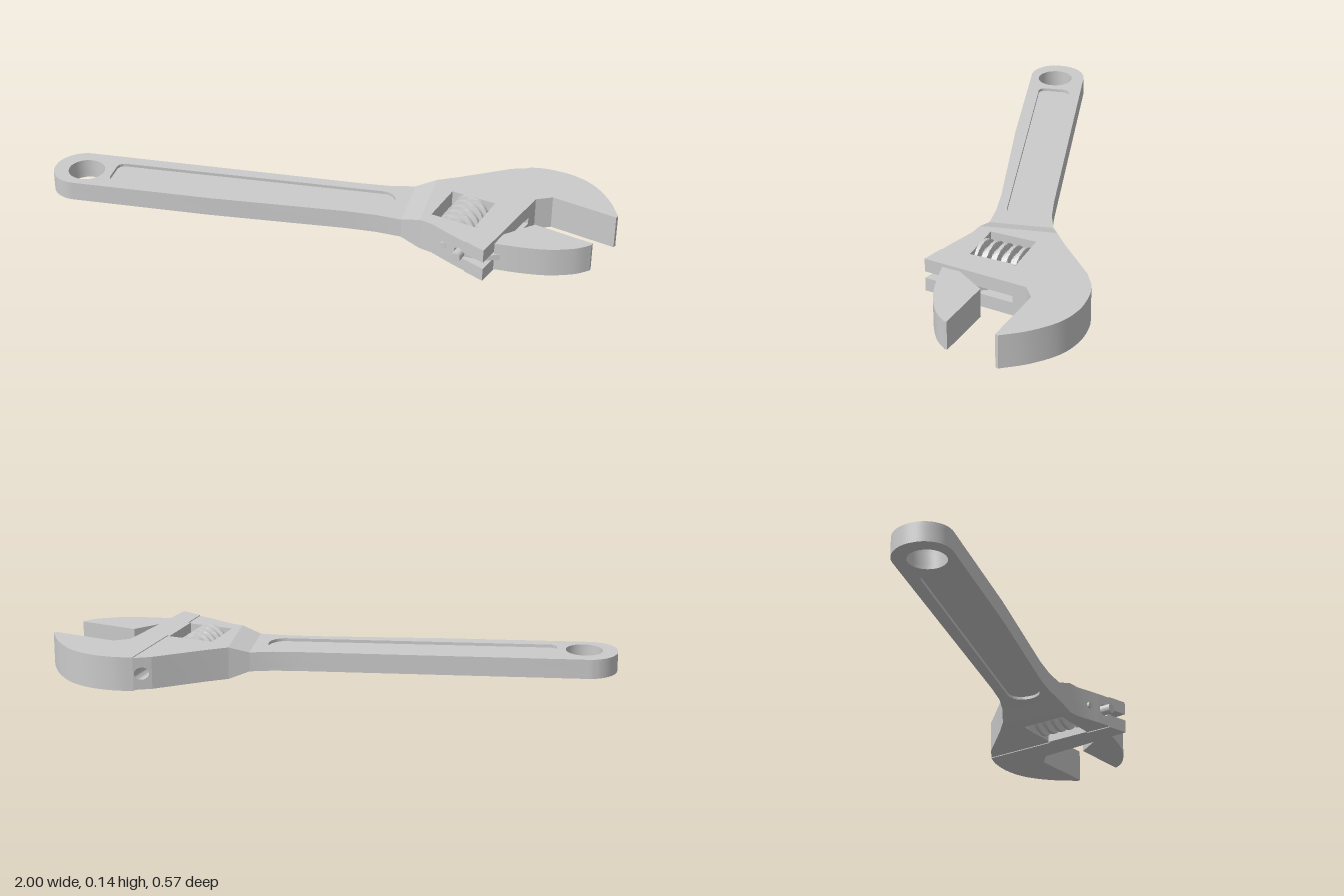
import * as THREE from 'three';
import { toCreasedNormals } from 'three/addons/utils/BufferGeometryUtils.js';

const MID = 0.073;                                   // height of the middle plane
const ANGLE = 0.235, C = Math.cos(ANGLE), S = Math.sin(ANGLE), AXIS_X = 0.56;
const H_HANDLE = 0.035, H_BODY = 0.058, H_HEAD = 0.061;

// Slanted head frame (u across, v along the channel) to plan coordinates [x, z]
const W = (u, v) => [AXIS_X + u * C - v * S, u * S + v * C];
// Slanted ends of the head where the channel runs out
const backEnd = (u) => -0.277 - 0.65 * u;
const frontEnd = (u) => 0.237 + 0.28 * u;

const material = new THREE.MeshStandardMaterial({ color: 0xcccccc });

function part(name, geometry, parent) {
  const mesh = new THREE.Mesh(toCreasedNormals(geometry, 0.5), material);
  mesh.name = name;
  parent.add(mesh);
  return mesh;
}

const polygon = (pts) => new THREE.Shape(pts.map((p) => new THREE.Vector2(...p)));
const smooth = (pts, n = 24) =>
  new THREE.SplineCurve(pts.map((p) => new THREE.Vector2(...p))).getPoints(n).map((p) => [p.x, p.y]);

// Replaces each corner [x, z, radius] by a short curve
function rounded(corners, PathType = THREE.Shape) {
  const path = new PathType();
  corners.forEach(([x, z, r = 0], i) => {
    const p = new THREE.Vector2(x, z);
    const toward = (q) => p.clone().add(new THREE.Vector2(q[0], q[1]).sub(p).setLength(r));
    const a = r ? toward(corners.at(i - 1)) : p;
    const b = r ? toward(corners[(i + 1) % corners.length]) : p;
    if (i) path.lineTo(a.x, a.y); else path.moveTo(a.x, a.y);
    if (r) {
      const k = 0.55, c1 = a.clone().lerp(p, k), c2 = b.clone().lerp(p, k);
      path.bezierCurveTo(c1.x, c1.y, c2.x, c2.y, b.x, b.y);
    }
  });
  path.closePath();
  return path;
}

// Flat plate with a plan outline between two heights from the middle plane
function plate(shape, y0, y1) {
  const g = new THREE.ExtrudeGeometry(shape, { depth: y1 - y0, bevelEnabled: false, curveSegments: 16 });
  return g.rotateX(Math.PI / 2).translate(0, y1, 0);
}

// Moves every vertex by a rule
function reshape(geometry, rule) {
  const pos = geometry.attributes.position, v = new THREE.Vector3();
  for (let i = 0; i < pos.count; i++) {
    rule(v.fromBufferAttribute(pos, i));
    pos.setXYZ(i, v.x, v.y, v.z);
  }
  return geometry;
}

function buildHandle(root) {
  const outline = (withPanel) => {
    const s = rounded([
      [-1, 0.006, 0.1], [-0.4, -0.03], [0.1, -0.06], [0.2, -0.07], [0.28, -0.09],
      [0.28, 0.132], [0.19, 0.126], [0.086, 0.13], [-0.4, 0.175], [-1, 0.213, 0.1],
    ]);
    s.holes.push(new THREE.Path().absarc(-0.882, 0.11, 0.065, 0, Math.PI * 2));
    if (withPanel) {
      s.holes.push(rounded([[-0.785, 0.038, 0.025], [0.232, -0.032, 0.055],
        [0.232, 0.088, 0.055], [-0.785, 0.155, 0.025]], THREE.Path));
    }
    return s;
  };
  const floor = 0.024;
  part('handleCore', plate(outline(false), -floor, floor), root);
  part('handleTopRim', plate(outline(true), floor, H_HANDLE), root);
  part('handleBottomRim', plate(outline(true), -H_HANDLE, -floor), root);

  // Neck thickening towards the head
  const neck = plate(polygon([[0.28, -0.09], [0.35, -0.115], [0.35, 0.15], [0.28, 0.132]]), -1, 1);
  part('neck', reshape(neck, (p) => { p.y *= p.x < 0.3 ? H_HANDLE : H_BODY; }), root);
}

function buildHead(root, slanted) {
  // Body wrapped around the worm window
  part('headBody', plate(polygon([
    [0.35, -0.115], [0.42, -0.153], W(-0.03, backEnd(-0.03)), W(-0.03, -0.022), W(-0.15, -0.022),
    W(-0.15, 0.145), W(-0.03, 0.145), W(-0.03, frontEnd(-0.03)), [0.395, 0.165], [0.35, 0.15],
  ]), -H_BODY, H_BODY), root);

  // Round channel: closed bore at the back, open to a slot at the front
  const r = 0.022, slot = 0.0125, right = 0.025, a = Math.asin(slot / r);
  const bore = polygon([[-0.03, -H_BODY], [right, -H_BODY], [right, H_BODY], [-0.03, H_BODY]]);
  bore.holes.push(new THREE.Path().absarc(0, 0, r, 0, Math.PI * 2));
  const keyhole = new THREE.Shape();
  keyhole.moveTo(-0.03, -H_BODY).lineTo(right, -H_BODY).lineTo(right, -slot);
  keyhole.absarc(0, 0, r, -a, a, true);
  keyhole.lineTo(right, slot).lineTo(right, H_BODY).lineTo(-0.03, H_BODY);
  const options = { depth: 1, bevelEnabled: false, curveSegments: 20 };
  part('channelBack', reshape(new THREE.ExtrudeGeometry(bore, options),
    (p) => { p.z = p.z < 0.5 ? backEnd(p.x) : -0.022; }), slanted);
  part('channelFront', reshape(new THREE.ExtrudeGeometry(keyhole, options),
    (p) => { p.z = p.z < 0.5 ? 0.145 : frontEnd(p.x); }), slanted);

  // Cheeks above and below the slot
  const cheek = polygon([
    W(right, -0.06), W(right, -0.022), W(0.015, -0.022), W(0.015, 0.145), W(right, 0.145),
    W(right, frontEnd(right)), [0.597, 0.282], [0.695, -0.03],
  ]);
  part('upperCheek', plate(cheek, slot, H_HEAD), root);
  part('lowerCheek', plate(cheek, -H_HEAD, -slot), root);

  // Hooked fixed jaw
  part('fixedJaw', plate(polygon([
    ...smooth([W(right, backEnd(right)), [0.72, -0.285], [0.81, -0.267], [0.89, -0.22],
      [0.957, -0.136], [1, -0.045]]),
    [0.995, -0.035], [0.765, -0.105], [0.71, -0.077], [0.695, -0.03], W(right, -0.06),
  ]), -H_HEAD, H_HEAD), root);
}

function buildMovableJaw(root, slanted) {
  part('movableJaw', plate(polygon([
    [0.733, 0.067], [0.94, 0.13],
    ...smooth([[0.937, 0.14], [0.89, 0.175], [0.807, 0.205], [0.716, 0.216], [0.622, 0.217]]),
    [0.64, 0.155],
  ]), -0.052, 0.052), root);
  part('jawWeb', plate(polygon([W(0, 0), W(0.06, 0), W(0.1, 0.06), [0.67, 0.13], [0.66, 0.21],
    W(0.09, 0.22), W(0, 0.235)]), -0.01, 0.01), root);

  // Sliding rod with rack teeth
  const rod = new THREE.CylinderGeometry(0.018, 0.018, 0.27, 24).rotateX(Math.PI / 2);
  part('rackRod', rod.translate(0, 0, 0.133), slanted);
  for (let i = 0; i < 5; i++) {
    const tooth = new THREE.CylinderGeometry(0.021, 0.021, 0.014, 20).rotateX(Math.PI / 2);
    part('rackTooth', tooth.translate(0, 0, 0.0 + i * 0.0355), slanted);
  }
}

function buildWorm(slanted) {
  // Screw: a finely divided cylinder pushed out along a helix
  const pitch = 0.0355;
  const screw = reshape(new THREE.CylinderGeometry(0.05, 0.05, 0.16, 40, 110), (p) => {
    const len = Math.hypot(p.x, p.z);
    if (len < 1e-6) return;
    const turn = p.y / pitch + Math.atan2(p.x, p.z) / (Math.PI * 2);
    const d = Math.abs(turn - Math.floor(turn) - 0.5) * 2;
    const r = 0.045 + 0.024 * THREE.MathUtils.clamp((0.62 - d) / 0.25, 0, 1);
    p.x *= r / len;
    p.z *= r / len;
  });
  part('wormScrew', screw.rotateX(Math.PI / 2).translate(-0.07, 0, 0.0615), slanted);
  const pin = new THREE.CylinderGeometry(0.012, 0.012, 0.25, 16).rotateX(Math.PI / 2);
  part('wormPin', pin.translate(-0.07, 0, 0.096), slanted);
}

export function createModel() {
  const root = new THREE.Group();
  root.name = 'adjustableWrench';
  root.position.y = MID;
  const slanted = new THREE.Group();
  slanted.name = 'slantedParts';
  slanted.position.x = AXIS_X;
  slanted.rotation.y = -ANGLE;
  root.add(slanted);

  buildHandle(root);
  buildHead(root, slanted);
  buildMovableJaw(root, slanted);
  buildWorm(slanted);

  const model = new THREE.Group();
  model.name = 'wrench';
  model.add(root);
  return model;
}
